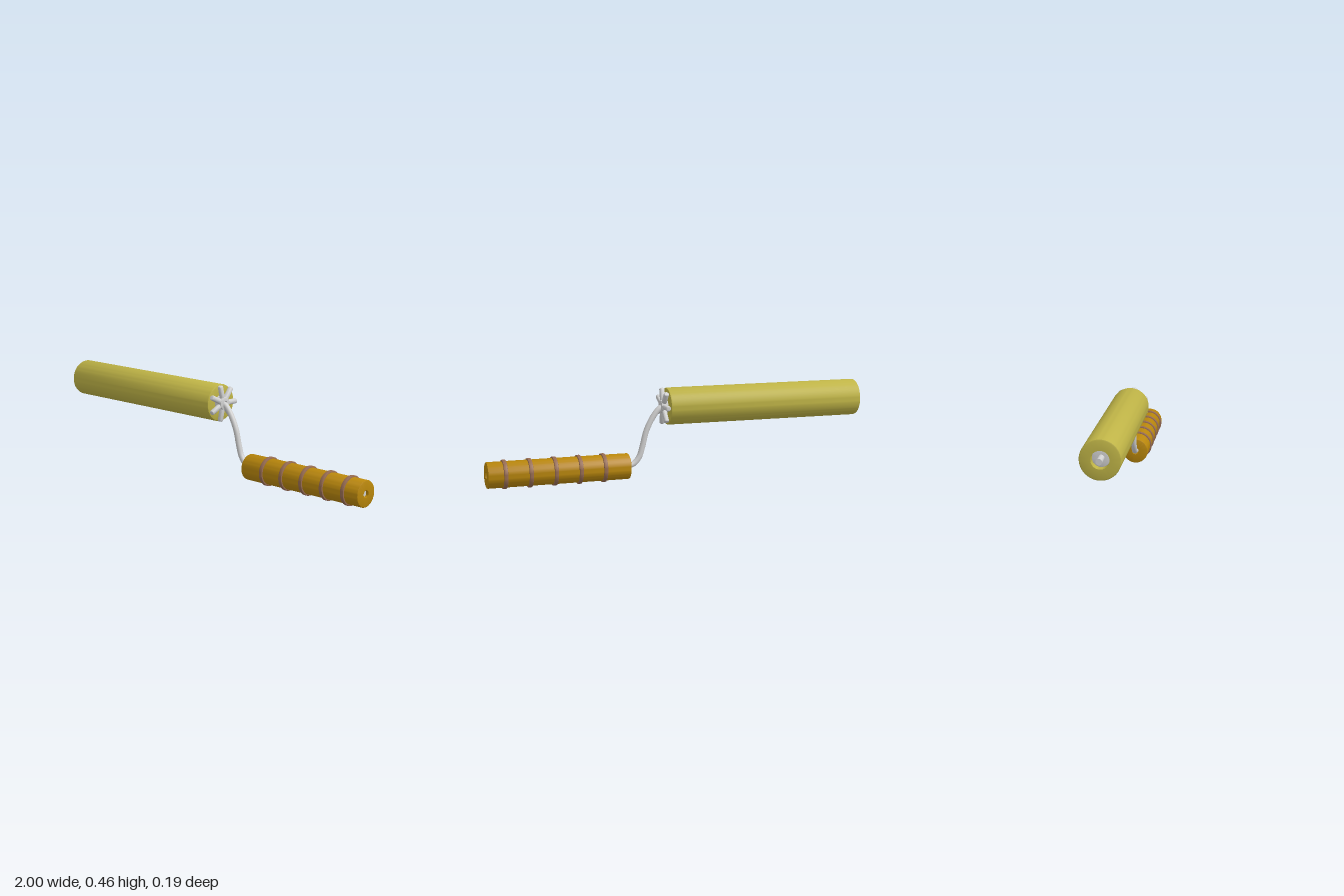
import * as THREE from 'three';
import { toCreasedNormals } from 'three/addons/utils/BufferGeometryUtils.js';

const mat = (name, color) => {
  const m = new THREE.MeshStandardMaterial({ color });
  m.name = name;
  return m;
};

export function createModel() {
  const foam = mat('olive yellow foam', 0xbeb346);
  const wood = mat('golden handle', 0xb8860b);
  const band = mat('brown band', 0x966b52);
  const metal = mat('light grey metal', 0xd0d0d0);

  const group = new THREE.Group();
  const rollerY = 0.368, handleY = 0.073, rodR = 0.0145;

  // Turned part: profile of [radius, position along the axis]
  const turned = (profile, sides) => toCreasedNormals(
    new THREE.LatheGeometry(profile.map(([r, t]) => new THREE.Vector2(r, t)), sides), 0.6);

  // Turned part lying along x at height y
  const addAlongX = (name, profile, y, material, sides = 48) => {
    const mesh = new THREE.Mesh(turned(profile, sides), material);
    mesh.name = name;
    mesh.rotation.z = -Math.PI / 2;
    mesh.position.y = y;
    group.add(mesh);
    return mesh;
  };

  // Hollow sleeve with slightly rounded rims
  const sleeve = (x0, x1, outer, inner, c) => [
    [inner, x0], [outer - c, x0], [outer - c * 0.3, x0 + c * 0.3], [outer, x0 + c],
    [outer, x1 - c], [outer - c * 0.3, x1 - c * 0.3], [outer - c, x1], [inner, x1], [inner, x0],
  ];

  addAlongX('rollerSleeve', sleeve(-0.97, 0.075, 0.094, 0.042, 0.007), rollerY, foam, 64);
  addAlongX('handle', sleeve(0.275, 0.995, 0.065, 0.018, 0.005), handleY, wood);

  // Grip bands around the handle
  for (let i = 0; i < 5; i++) {
    const x = 0.408 + i * 0.125;
    addAlongX('gripBand', sleeve(x - 0.01, x + 0.01, 0.0725, 0.062, 0.004), handleY, band);
  }

  // Bent wire frame running through the roller and into the handle
  const path = new THREE.CatmullRomCurve3([
    [-1, 0.368], [-0.5, 0.368], [0, 0.368], [0.08, 0.368], [0.11, 0.357], [0.145, 0.315],
    [0.18, 0.245], [0.2, 0.17], [0.217, 0.118], [0.245, 0.085], [0.285, 0.073],
    [0.4, 0.073], [0.7, 0.073], [0.985, 0.073],
  ].map(([x, y]) => new THREE.Vector3(x, y, 0)));
  const rod = new THREE.Mesh(new THREE.TubeGeometry(path, 220, rodR, 20), metal);
  rod.name = 'wireFrame';
  group.add(rod);

  // Flat ends of the wire
  for (const [x, y, s] of [[-1, rollerY, -1], [0.985, handleY, 1]]) {
    const cap = new THREE.Mesh(new THREE.CircleGeometry(rodR, 20), metal);
    cap.name = 'wireEnd';
    cap.rotation.y = s * Math.PI / 2;
    cap.position.set(x, y, 0);
    group.add(cap);
  }

  // Hub collar by the spokes and a bearing recessed in the far end
  addAlongX('hubCollar', sleeve(0.02, 0.106, 0.033, 0.013, 0.006), rollerY, metal, 32);
  addAlongX('farBearing', sleeve(-0.93, -0.9, 0.042, 0.013, 0.002), rollerY, metal, 32);

  // Seven spokes fanned over the roller face
  const spokeShape = turned([
    [0, 0.02], [0.0135, 0.02], [0.0135, 0.087], [0.0115, 0.091], [0.007, 0.0935], [0, 0.094],
  ], 20);
  for (let i = 0; i < 7; i++) {
    const a = i * Math.PI * 2 / 7;
    const spoke = new THREE.Mesh(spokeShape, metal);
    spoke.name = 'spoke';
    spoke.position.set(0.09, rollerY, 0);
    spoke.rotation.x = a - Math.PI / 2;
    group.add(spoke);
  }

  return group;
}
